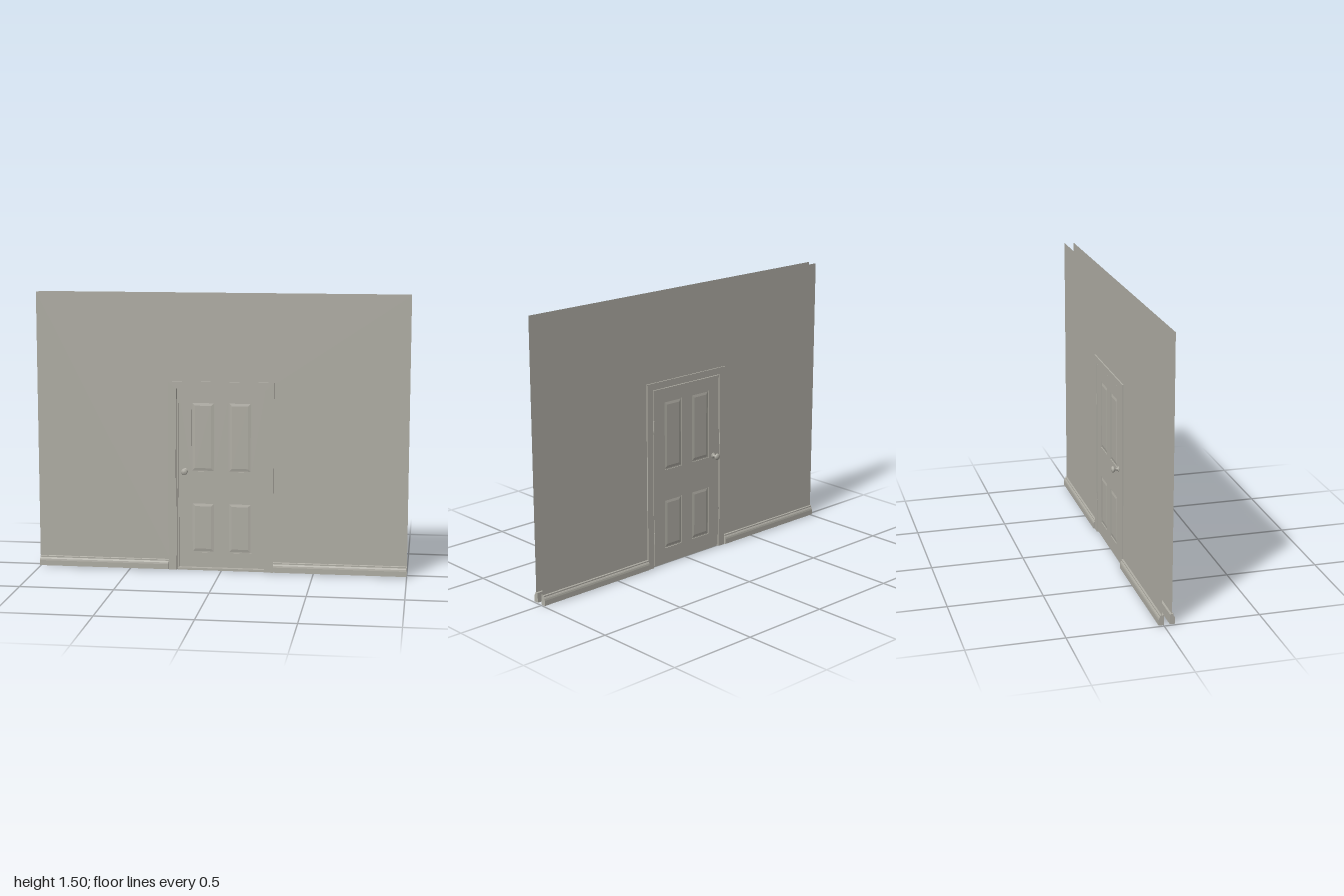
import * as THREE from 'three';

const paint = new THREE.MeshStandardMaterial({ color: 0xb0aea5, side: THREE.DoubleSide });
paint.name = 'warm grey paint';

const MID = 0.0135;          // z of the middle of the wall
const DOOR_Z = -0.004;       // z of the middle of the door

function add(parent, name, geometry, x = 0, y = 0, z = 0) {
  const mesh = new THREE.Mesh(geometry, paint);
  mesh.name = name;
  mesh.position.set(x, y, z);
  parent.add(mesh);
  return mesh;
}

const polygon = (pts) => new THREE.Shape(pts.map(([x, y]) => new THREE.Vector2(x, y)));

// Upside-down U around the doorway
function arch(outer, top, inner, innerTop, bottom) {
  return polygon([
    [-outer, bottom], [-inner, bottom], [-inner, innerTop], [inner, innerTop],
    [inner, bottom], [outer, bottom], [outer, top], [-outer, top],
  ]);
}

const extrude = (shape, depth) => new THREE.ExtrudeGeometry(shape, { depth, bevelEnabled: false });

// Wall sheet, casing and skirting of one side, facing +z
function wallSide(name) {
  const side = new THREE.Group();
  side.name = name;
  add(side, 'wallSheet', new THREE.ShapeGeometry(arch(1, 1.505, 0.25, 1.003, 0.006)), 0, 0, 0.0265);
  add(side, 'doorCasing', extrude(arch(0.285, 1.035, 0.245, 0.998, 0.003), 0.018), 0, 0, 0.0155);

  // Skirting profile: distance from the wall's middle, height
  const profile = polygon([
    [0.0155, 0.006], [0.0425, 0.006], [0.0425, 0.034], [0.0408, 0.043],
    [0.0375, 0.049], [0.035, 0.051], [0.035, 0.058], [0.033, 0.06], [0.0155, 0.06],
  ]);
  const skirting = extrude(profile, 0.715).rotateY(-Math.PI / 2);
  add(side, 'skirtingLeft', skirting, 1);
  add(side, 'skirtingRight', skirting, -0.285);
  side.position.z = MID;
  return side;
}

function makeDoor() {
  const door = new THREE.Group();
  door.name = 'door';
  const half = 0.012, recess = 0.004;

  // Stiles and rails with four openings
  const frame = polygon([[-0.238, 0.013], [0.238, 0.013], [0.238, 0.993], [-0.238, 0.993]]);
  const panels = [];
  for (const x of [-0.102, 0.098]) {
    for (const [y0, y1] of [[0.095, 0.37], [0.54, 0.92]]) panels.push([x - 0.064, x + 0.064, y0, y1]);
  }
  for (const [x0, x1, y0, y1] of panels) {
    frame.holes.push(polygon([[x0, y0], [x0, y1], [x1, y1], [x1, y0]]));
  }
  add(door, 'doorFrame', extrude(frame, 2 * half), 0, 0, -half);

  // Raised panels, bevelled on both faces
  for (const [x0, x1, y0, y1] of panels) {
    const w = x1 - x0, h = y1 - y0, x = (x0 + x1) / 2, y = (y0 + y1) / 2;
    add(door, 'panelCore', new THREE.BoxGeometry(w, h, 2 * (half - recess)), x, y, 0);
    const a = w / 2 - 0.02, b = h / 2 - 0.02;
    const raised = new THREE.ExtrudeGeometry(polygon([[-a, -b], [a, -b], [a, b], [-a, b]]), {
      depth: 2 * (half - recess), bevelEnabled: true, bevelThickness: 0.003,
      bevelSize: 0.014, bevelSegments: 1,
    });
    add(door, 'raisedPanel', raised, x, y, -(half - recess));
  }

  // Knob: rose, neck and head, turned about its axis
  const knobProfile = [
    [0, 0.011], [0.016, 0.011], [0.016, 0.0135], [0.012, 0.016], [0.007, 0.018], [0.0065, 0.027],
    [0.009, 0.032], [0.0145, 0.036], [0.0175, 0.041], [0.017, 0.046], [0.012, 0.0505], [0, 0.052],
  ].map(([r, h]) => new THREE.Vector2(r, h));
  const knob = new THREE.LatheGeometry(knobProfile, 24).rotateX(Math.PI / 2);
  add(door, 'frontKnob', knob, -0.2, 0.543, 0);
  add(door, 'backKnob', knob, -0.2, 0.543, 0).rotation.y = Math.PI;

  // Hinge barrels on the back
  for (const y of [0.17, 0.795]) {
    add(door, 'hinge', new THREE.CylinderGeometry(0.004, 0.004, 0.062, 12), 0.239, y, -half - 0.002);
  }
  door.position.z = DOOR_Z;
  return door;
}

export function createModel() {
  const model = new THREE.Group();
  model.name = 'doorInWall';

  model.add(wallSide('frontWall'));
  const back = wallSide('backWall');
  back.rotation.y = Math.PI;
  model.add(back);

  // Lining of the doorway, door stop and threshold
  add(model, 'jamb', extrude(arch(0.252, 1.004, 0.241, 0.996, 0.003), 0.058), 0, 0, MID - 0.029);
  add(model, 'doorStop', extrude(arch(0.243, 0.997, 0.233, 0.988, 0.003), 0.014), 0, 0, 0.009);
  add(model, 'threshold', new THREE.BoxGeometry(0.482, 0.012, 0.032), 0, 0.006, MID);

  model.add(makeDoor());
  return model;
}
